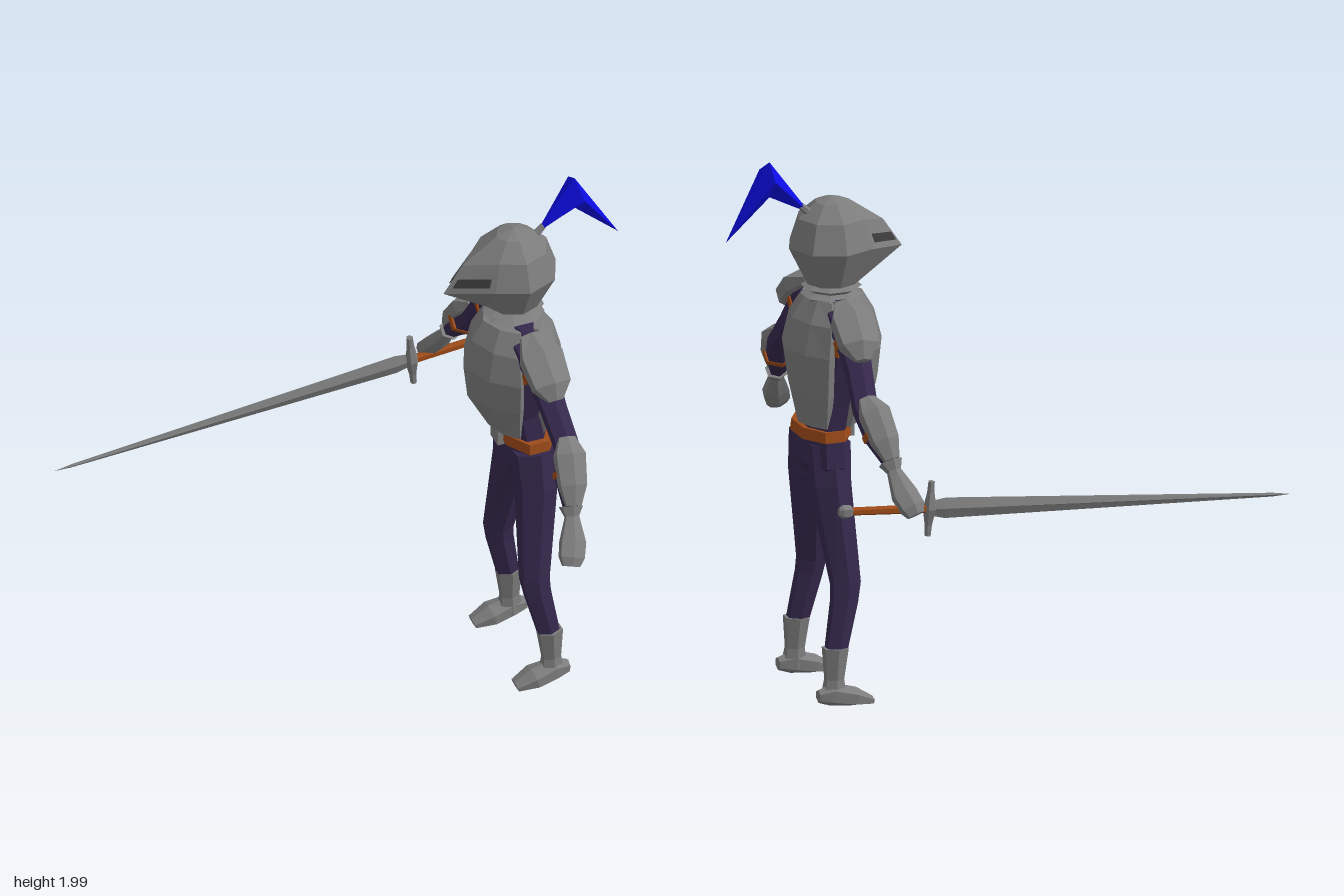
import * as THREE from 'three';

const V = (x, y, z) => new THREE.Vector3(x, y, z);
const X = V(1, 0, 0), Z = V(0, 0, 1);
const mat = (name, color) => {
  const m = new THREE.MeshStandardMaterial({ color });
  m.name = name;
  return m;
};

// Skins closed rings of points into a faceted, capped solid facing outwards.
function skin(rings) {
  const tris = [];
  const add = (a, b, c) => {
    const area = b.clone().sub(a).cross(c.clone().sub(a)).length();
    if (area > 1e-8) tris.push([a, b, c]);
  };
  const n = rings[0].length;
  for (let r = 0; r < rings.length - 1; r++) {
    for (let i = 0; i < n; i++) {
      const j = (i + 1) % n, p = rings[r], q = rings[r + 1];
      add(p[i], p[j], q[j]);
      add(p[i], q[j], q[i]);
    }
  }
  const cap = (ring, flip) => {
    const c = ring.reduce((s, p) => s.add(p), V(0, 0, 0)).divideScalar(n);
    ring.forEach((p, i) => {
      const q = ring[(i + 1) % n];
      flip ? add(c, q, p) : add(c, p, q);
    });
  };
  cap(rings[0], true);
  cap(rings[rings.length - 1], false);
  let volume = 0;
  for (const [a, b, c] of tris) volume += a.dot(b.clone().cross(c));
  const pts = tris.flatMap(([a, b, c]) => (volume < 0 ? [a, c, b] : [a, b, c]));
  const g = new THREE.BufferGeometry().setFromPoints(pts);
  g.computeVertexNormals();
  return g;
}

// Tube through stations [x, y, z, half size along ref, half size across].
function tube(stations, sides, ref = X, phase = 0.5) {
  const pos = stations.map(([x, y, z]) => V(x, y, z));
  return skin(stations.map(([, , , a, b = a], i) => {
    const t = pos[Math.min(i + 1, pos.length - 1)].clone().sub(pos[Math.max(i - 1, 0)]).normalize();
    const u = ref.clone().addScaledVector(t, -ref.dot(t)).normalize();
    const v = t.clone().cross(u);
    return Array.from({ length: sides }, (_, k) => {
      const w = ((k + phase) / sides) * Math.PI * 2;
      return pos[i].clone().addScaledVector(u, a * Math.cos(w)).addScaledVector(v, b * Math.sin(w));
    });
  }));
}

export function createModel() {
  const steel = mat('steel', 0x7c7c7c), cloth = mat('darkPurpleCloth', 0x35284c);
  const leather = mat('brownLeather', 0x9c4a18), blue = mat('bluePlume', 0x0c0ce4);
  const shadow = mat('visorSlitGrey', 0x3a3a3a);

  const model = new THREE.Group();
  model.name = 'knight';
  const body = new THREE.Group();
  body.name = 'figure';
  body.position.set(0.63, 0, 0);
  body.rotation.y = -1.086;
  model.add(body);
  const put = (name, geometry, material, parent = body) => {
    const m = new THREE.Mesh(geometry, material);
    m.name = name;
    parent.add(m);
    return m;
  };
  const group = (name, x) => {
    const g = new THREE.Group();
    g.name = name;
    g.position.x = x;
    body.add(g);
    return g;
  };

  // Torso, belt and strap
  const trunk = group('trunk', 0.012);
  put('torso', tube([[0.01, 0.97, -0.03, 0.14, 0.08], [0, 1.1, -0.01, 0.14, 0.085],
    [0, 1.3, 0, 0.185, 0.1], [0, 1.42, 0, 0.18, 0.085], [0, 1.49, 0, 0.12, 0.06]], 8), cloth, trunk);
  put('chestStrap', tube([[0, 1.3, 0, 0.193, 0.1], [0, 1.355, 0, 0.193, 0.1]], 8), leather, trunk);
  put('belt', tube([[0.015, 0.97, -0.03, 0.16, 0.1], [0.015, 1.01, -0.03, 0.155, 0.095]], 8), leather, trunk);
  const buckle = put('buckle', new THREE.BoxGeometry(0.07, 0.065, 0.025), steel, trunk);
  buckle.position.set(0.01, 0.985, 0.07);

  // Breastplate and backplate: D-shaped sections [y, half width, edge z, middle z]
  const plate = rows => skin(rows.map(([y, w, edge, mid]) => [
    ...[-1, -0.6, 0, 0.6, 1].map(t => V(t * w, y, edge + (mid - edge) * (1 - t * t))),
    V(w * 0.8, y, edge * 0.4), V(-w * 0.8, y, edge * 0.4)]));
  put('breastplate', plate([[1.02, 0.125, 0.03, 0.1], [1.17, 0.175, 0.05, 0.18],
    [1.3, 0.195, 0.055, 0.195], [1.41, 0.175, 0.05, 0.165], [1.485, 0.125, 0.03, 0.12]]), steel, trunk);
  put('backplate', plate([[1.02, 0.125, -0.06, -0.12], [1.15, 0.165, -0.07, -0.15],
    [1.3, 0.19, -0.075, -0.175], [1.41, 0.175, -0.06, -0.145], [1.485, 0.125, -0.04, -0.095]]), steel, trunk);
  put('neckGuard', tube([[0, 1.47, 0, 0.085], [0, 1.487, 0, 0.11], [0, 1.5, 0, 0.075],
    [0, 1.518, 0, 0.108], [0, 1.53, 0, 0.075], [0, 1.56, 0, 0.07]], 8), steel);

  // Helmet: octagonal sections with the front corner drawn out to a beak
  const helmetRing = (y, w, front, drop) => Array.from({ length: 8 }, (_, k) => {
    const a = (k * Math.PI) / 4;
    return k ? V(Math.sin(a) * w, y, Math.cos(a) * w) : V(0, y - drop, front);
  });
  const brow = helmetRing(1.775, 0.125, 0.195, 0.035), cheek = helmetRing(1.67, 0.16, 0.266, 0.035);
  put('helmet', skin([helmetRing(1.53, 0.09, 0.1, 0), cheek, brow,
    helmetRing(1.83, 0.06, 0.065, 0), helmetRing(1.85, 0, 0, 0)]), steel);
  // Eye slits laid on the beak faces
  for (const k of [1, 7]) {
    const at = (u, v) => cheek[0].clone().lerp(cheek[k], u).lerp(brow[0].clone().lerp(brow[k], u), v)
      .add(V(k === 1 ? 0.004 : -0.004, 0.002, 0.004));
    const back = p => p.clone().add(V(0, 0, -0.006));
    const face = [at(0.12, 0.2), at(0.85, 0.2), at(0.85, 0.5), at(0.12, 0.5)];
    put('eyeSlit', skin([face.map(back), face]), shadow);
  }

  // Plume
  put('plumeSocket', tube([[-0.003, 1.79, -0.08, 0.016], [-0.005, 1.825, -0.117, 0.012]], 6), steel);
  const p = (x, y, z) => V(x - 0.005, y, z);
  put('plume', skin([
    [p(0, 1.825, -0.105), p(0.01, 1.82, -0.11), p(0, 1.81, -0.115), p(-0.01, 1.82, -0.11)],
    [p(0, 2, -0.235), p(0.079, 1.95, -0.243), p(0, 1.87, -0.235), p(-0.079, 1.95, -0.243)],
    Array(4).fill(0).map(() => p(0, 1.72, -0.4))]), blue);

  // Legs and boots
  const legs = group('legs', 0.035);
  put('hips', tube([[-0.015, 0.99, -0.03, 0.145, 0.085], [-0.01, 0.88, -0.03, 0.165, 0.09],
    [-0.01, 0.82, -0.03, 0.09, 0.06]], 8), cloth, legs);
  for (const s of [1, -1]) {
    const side = s > 0 ? 'left' : 'right';
    const mirror = st => st.map(([x, ...r]) => [x * s, ...r]);
    put(side + 'Leg', tube(mirror([[0.075, 0.95, -0.03, 0.075, 0.085], [0.1, 0.8, -0.03, 0.078, 0.077],
      [0.168, 0.45, 0.003, 0.042, 0.058], [0.175, 0.39, -0.005, 0.038, 0.053],
      [0.192, 0.2, -0.045, 0.034, 0.042]]), 6, X, 0), cloth, legs);
    put(side + 'BootShaft', tube(mirror([[0.192, 0.225, -0.045, 0.042, 0.05],
      [0.195, 0.11, -0.05, 0.03, 0.037], [0.197, 0.04, -0.052, 0.04, 0.05]]), 6, X, 0), steel, legs);
    put(side + 'BootFoot', tube(mirror([[0.2, 0.053, -0.112, 0.025, 0.024], [0.2, 0.055, -0.06, 0.042, 0.042],
      [0.2, 0.04, 0.02, 0.056, 0.035], [0.2, 0.02, 0.088, 0.036, 0.014]]), 6), steel, legs);
  }

  // Arms with shoulder guards, forearm guards, straps and gauntlets
  const arms = group('arms', 0.012);
  for (const s of [1, -1]) {
    const side = s > 0 ? 'left' : 'right';
    const part = (name, m, st, sides = 6) =>
      put(side + name, tube(st.map(([x, ...r]) => [x * s, ...r]), sides, Z), m, arms);
    part('Arm', cloth, [[0.13, 1.43, 0, 0.07, 0.06], [0.22, 1.39, -0.005, 0.062, 0.058],
      [0.33, 1.28, -0.015, 0.05, 0.045], [0.42, 1.18, -0.027, 0.048, 0.042],
      [0.49, 1.1, -0.005, 0.052, 0.044], [0.573, 1.01, 0.018, 0.026, 0.026]]);
    part('ShoulderGuard', steel, [[0.15, 1.49, 0, 0.045, 0.02], [0.235, 1.452, -0.005, 0.088, 0.052],
      [0.32, 1.382, -0.01, 0.078, 0.05], [0.355, 1.34, -0.012, 0.03, 0.018]]);
    part('UpperArmStrap', leather, [[0.222, 1.385, -0.005, 0.068, 0.066], [0.245, 1.362, -0.006, 0.066, 0.064]]);
    part('ForearmGuard', steel, [[0.425, 1.222, -0.025, 0.034, 0.02], [0.475, 1.185, -0.015, 0.062, 0.046],
      [0.54, 1.1, 0, 0.056, 0.04], [0.578, 1.04, 0.012, 0.032, 0.02]]);
    part('ForearmStrap', leather, [[0.482, 1.118, -0.008, 0.06, 0.052], [0.497, 1.101, -0.004, 0.06, 0.052]]);
    part('GauntletCuff', steel, [[0.56, 1.025, 0.014, 0.045, 0.04], [0.582, 0.995, 0.02, 0.026, 0.024]]);
    part('Gauntlet', steel, [[0.58, 1, 0.018, 0.026, 0.023], [0.635, 0.925, 0.038, 0.052, 0.034],
      [0.668, 0.885, 0.055, 0.05, 0.034], [0.684, 0.86, 0.064, 0.035, 0.022]]);
  }

  // Sword in the right hand
  const sword = group('sword', -0.631);
  sword.position.set(-0.631, 0.865, 0.13);
  sword.rotation.x = 0.077;
  put('blade', tube([[0, 0, 0, 0.008, 0.026], [0, 0, 0.06, 0.013, 0.038], [0, 0, 0.22, 0.013, 0.034],
    [0, 0, 1.3, 0.005, 0.007], [0, 0, 1.365, 0, 0]], 4, X, 0), steel, sword);
  put('crossguard', tube([[0, -0.1, 0, 0.014, 0.012], [0, -0.06, 0, 0.015, 0.014], [0, 0, 0, 0.03, 0.026],
    [0, 0.06, 0, 0.015, 0.014], [0, 0.1, 0, 0.014, 0.012]], 6), steel, sword);
  put('grip', tube([[0, 0, 0, 0.017], [0, 0, -0.305, 0.015]], 6), leather, sword);
  put('pommel', tube([[0, 0, -0.295, 0.018], [0, 0, -0.305, 0.025], [0, 0, -0.33, 0.025],
    [0, 0, -0.342, 0.016]], 6), steel, sword);
  return model;
}
